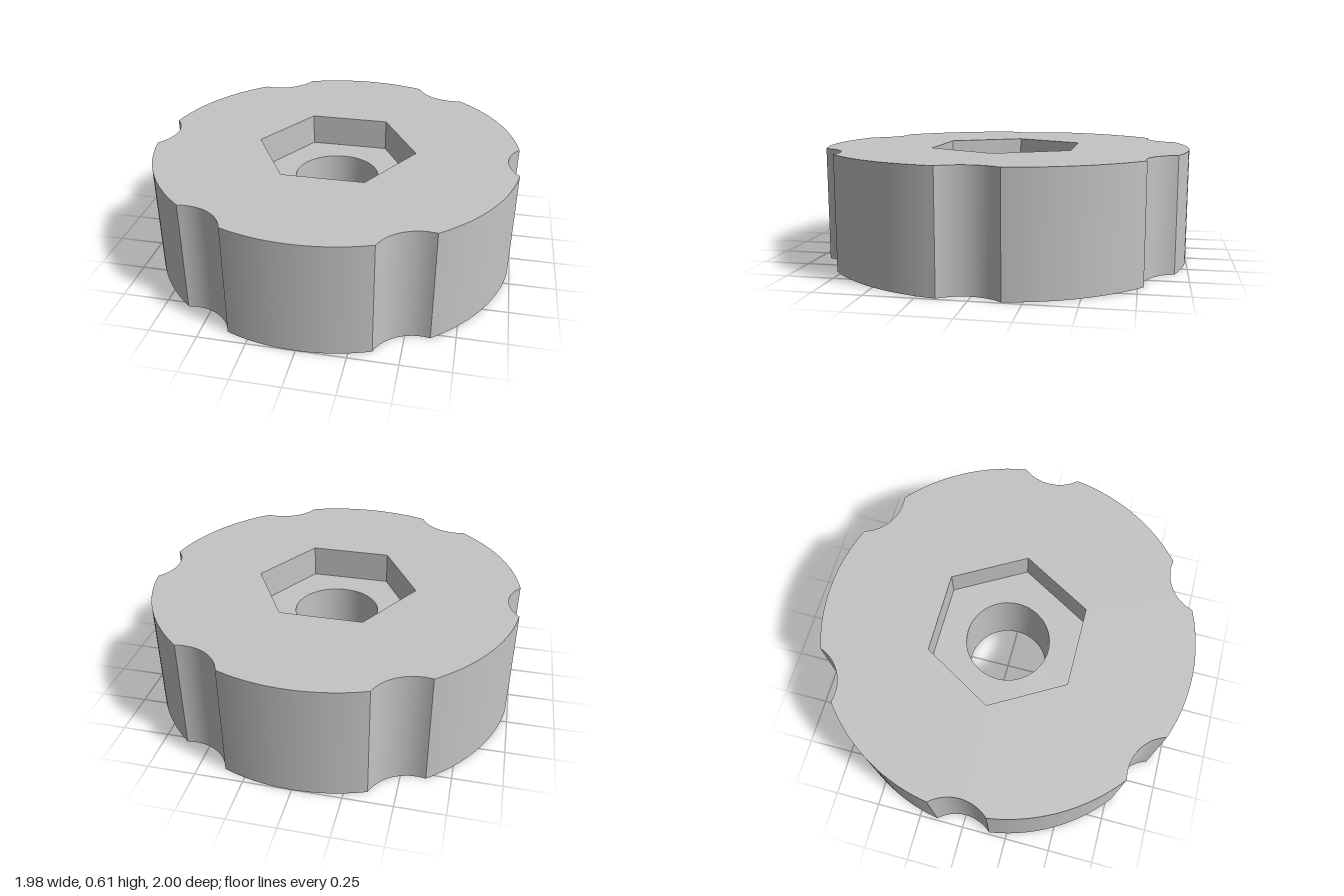
import * as THREE from 'three';
import { toCreasedNormals } from 'three/addons/utils/BufferGeometryUtils.js';

const HEIGHT = 0.61, FLOOR = 0.435;           // knob height, hex pocket floor
const HOLE_R = 0.23, HEX_R = 0.437;
const GRIPS = 6, GRIP_D = 1.158;              // finger grips and their centre distance
const HALF = THREE.MathUtils.degToRad(8.75);  // half angle of a grip on the rim

function circle(radius, sides) {
  return Array.from({ length: sides }, (_, i) => {
    const a = (i / sides) * Math.PI * 2;
    return new THREE.Vector2(Math.cos(a) * radius, Math.sin(a) * radius);
  });
}

// Rim arcs alternating with concave grips
function scallopedOutline() {
  const points = [];
  const dx = GRIP_D - Math.cos(HALF), dy = Math.sin(HALF);
  const r = Math.hypot(dx, dy), sweep = Math.atan2(dy, dx);
  const step = (Math.PI * 2) / GRIPS;
  for (let k = 0; k < GRIPS; k++) {
    const mid = k * step;
    for (let i = 0; i < 16; i++) {
      const a = mid + Math.PI + sweep * (1 - i / 8);
      points.push(new THREE.Vector2(
        Math.cos(mid) * GRIP_D + Math.cos(a) * r,
        Math.sin(mid) * GRIP_D + Math.sin(a) * r));
    }
    for (let i = 0; i < 20; i++) {
      const a = mid + HALF + (step - 2 * HALF) * (i / 20);
      points.push(new THREE.Vector2(Math.cos(a), Math.sin(a)));
    }
  }
  return points;
}

// Upright wall along a closed outline; inward walls face the axis
function wall(outline, y0, y1, inward = false) {
  const pts = inward ? [...outline].reverse() : outline;
  const pos = [];
  pts.forEach((p, i) => {
    const q = pts[(i + 1) % pts.length];
    pos.push(p.x, y0, -p.y, q.x, y0, -q.y, q.x, y1, -q.y);
    pos.push(p.x, y0, -p.y, q.x, y1, -q.y, p.x, y1, -p.y);
  });
  const geo = new THREE.BufferGeometry();
  geo.setAttribute('position', new THREE.Float32BufferAttribute(pos, 3));
  return toCreasedNormals(geo, 0.5);
}

// Flat horizontal face with an opening
function face(outline, opening, y, down = false) {
  const shape = new THREE.Shape(outline);
  shape.holes.push(new THREE.Path(opening));
  return new THREE.ShapeGeometry(shape)
    .rotateX(down ? Math.PI / 2 : -Math.PI / 2)
    .translate(0, y, 0);
}

export function createModel() {
  const grey = new THREE.MeshStandardMaterial({ color: 0xc4c4c4 });
  grey.name = 'grey';
  const knob = new THREE.Group();
  knob.name = 'knob';
  const add = (name, geometry) => {
    const mesh = new THREE.Mesh(geometry, grey);
    mesh.name = name;
    knob.add(mesh);
  };

  const rim = scallopedOutline();
  const hex = circle(HEX_R, 6);
  const hole = circle(HOLE_R, 64);

  // Body
  add('gripWall', wall(rim, 0, HEIGHT));
  add('topFace', face(rim, hex, HEIGHT));
  add('bottomFace', face(rim, hole, 0, true));
  // Nut pocket and bolt hole
  add('hexPocketWall', wall(hex, FLOOR, HEIGHT, true));
  add('hexPocketFloor', face(hex, hole, FLOOR));
  add('boltHoleWall', wall(hole, 0, FLOOR, true));
  return knob;
}
